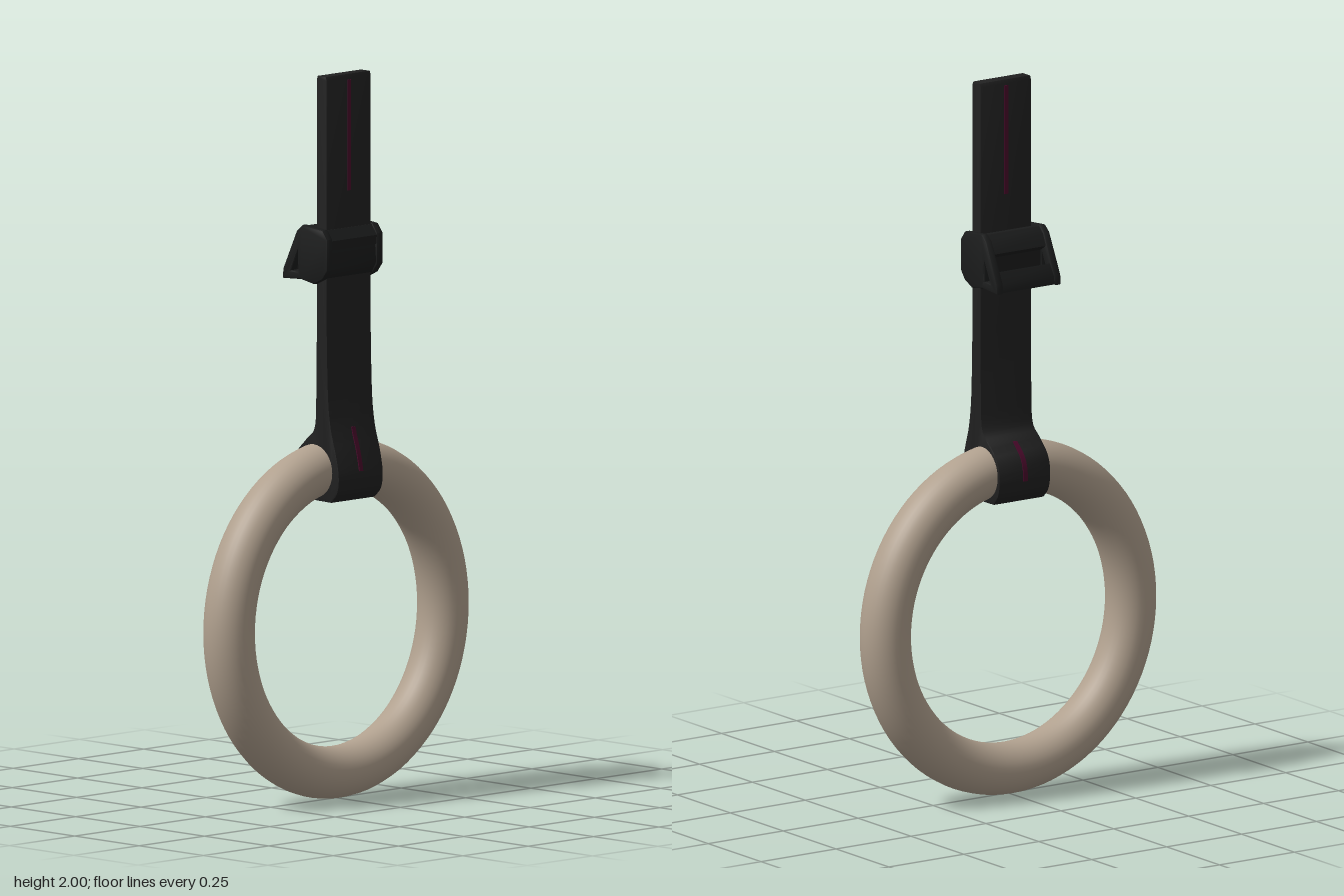
import * as THREE from 'three';
import { toCreasedNormals } from 'three/addons/utils/BufferGeometryUtils.js';

const wood = new THREE.MeshStandardMaterial({ color: 0xb0a08e });
wood.name = 'pale wood';
const webbing = new THREE.MeshStandardMaterial({ color: 0x202020 });
webbing.name = 'black webbing';
const plastic = new THREE.MeshStandardMaterial({ color: 0x1b1c1c });
plastic.name = 'black plastic';
const thread = new THREE.MeshStandardMaterial({ color: 0x480a2a });
thread.name = 'dark red thread';

const vec = (pts) => pts.map(([z, y]) => new THREE.Vector2(z, y));
const smooth = (pts, n) => new THREE.SplineCurve(vec(pts)).getPoints(n).map((p) => [p.x, p.y]);

// Side profile of [z, y] points, extruded to a width centred on x
function slab(name, pts, width, material, { x = 0, bevel = 0, hole } = {}) {
  const shape = new THREE.Shape(vec(pts));
  if (hole) shape.holes.push(new THREE.Path(vec(hole)));
  const depth = width - 2 * bevel;
  const geo = new THREE.ExtrudeGeometry(shape, {
    depth, bevelEnabled: bevel > 0, bevelSize: bevel, bevelThickness: bevel,
    bevelOffset: -bevel, bevelSegments: 2,
  });
  geo.translate(0, 0, -depth / 2).rotateY(-Math.PI / 2).translate(x, 0, 0);
  const mesh = new THREE.Mesh(toCreasedNormals(geo, 0.7), material);
  mesh.name = name;
  return mesh;
}

// Thin strip lying on a run of profile points
function stitch(name, pts, side, width) {
  const outer = pts.map(([z, y]) => [z + side * 0.003, y]);
  const inner = pts.map(([z, y]) => [z - side * 0.003, y]).reverse();
  return slab(name, [...outer, ...inner], width, thread);
}

export function createModel() {
  const model = new THREE.Group();

  // Wooden ring, slightly taller than wide
  const ring = new THREE.Mesh(new THREE.TorusGeometry(0.409, 0.069, 32, 96), wood);
  ring.name = 'ring';
  ring.scale.set(1, 1.037, 1.04);
  ring.position.y = 0.4955;
  model.add(ring);

  // Strap, flaring into the loop around the top of the ring
  const front = smooth([[0.05, 1.3], [0.055, 1.12], [0.066, 1.03], [0.086, 0.96],
    [0.097, 0.9], [0.09, 0.855], [0.065, 0.828]], 30);
  const back = smooth([[-0.05, 0.83], [-0.074, 0.86], [-0.081, 0.91], [-0.068, 0.955],
    [-0.03, 0.995], [0.002, 1.03], [0.008, 1.12], [0.01, 1.3]], 30);
  model.add(slab('strap', [[0.046, 2], [0.05, 1.99], ...front, ...back, [0.01, 1.99], [0.014, 2]],
    0.17, webbing, { bevel: 0.003 }));

  // Stitching on the strap end and on the loop
  model.add(
    stitch('upperFrontStitch', [[0.05, 1.985], [0.05, 1.68]], 1, 0.012),
    stitch('upperBackStitch', [[0.01, 1.985], [0.01, 1.68]], -1, 0.012),
    stitch('loopFrontStitch', front.filter(([, y]) => y > 0.9 && y < 1.04), 1, 0.014),
    stitch('loopBackStitch', back.filter(([, y]) => y > 0.89 && y < 1.0), -1, 0.014),
  );

  // Cam buckle: side plates, roller body and lever bars
  const buckle = new THREE.Group();
  buckle.name = 'buckle';
  const plate = [[0.055, 1.58], [-0.025, 1.587], [-0.045, 1.57], [-0.098, 1.46], [-0.1, 1.433],
    [-0.03, 1.437], [0.02, 1.428], [0.055, 1.445], [0.074, 1.47], [0.074, 1.555]];
  const hole = [[-0.04, 1.515], [-0.04, 1.458], [-0.066, 1.458]];
  for (const s of [-1, 1]) {
    buckle.add(slab(s > 0 ? 'leftPlate' : 'rightPlate', plate, 0.023, plastic,
      { x: s * 0.096, bevel: 0.005, hole }));
  }
  const bar = (name, pts) => buckle.add(slab(name, pts, 0.18, plastic));
  bar('body', [[0.05, 1.55], [-0.034, 1.55], [-0.034, 1.455], [0.015, 1.435], [0.05, 1.45]]);
  bar('frontUpperBar', [[0.052, 1.578], [0.025, 1.578], [0.025, 1.525], [0.07, 1.525], [0.072, 1.55]]);
  bar('frontLowerBar', [[0.066, 1.525], [0.025, 1.525], [0.025, 1.436], [0.052, 1.446], [0.07, 1.475]]);
  bar('leverTopBar', [[0.01, 1.578], [-0.025, 1.584], [-0.044, 1.567], [-0.058, 1.535], [-0.035, 1.52], [0.01, 1.54]]);
  bar('leverBottomBar', [[-0.078, 1.49], [-0.096, 1.458], [-0.098, 1.435], [-0.035, 1.438], [-0.035, 1.456], [-0.068, 1.458]]);
  model.add(buckle);

  return model;
}
